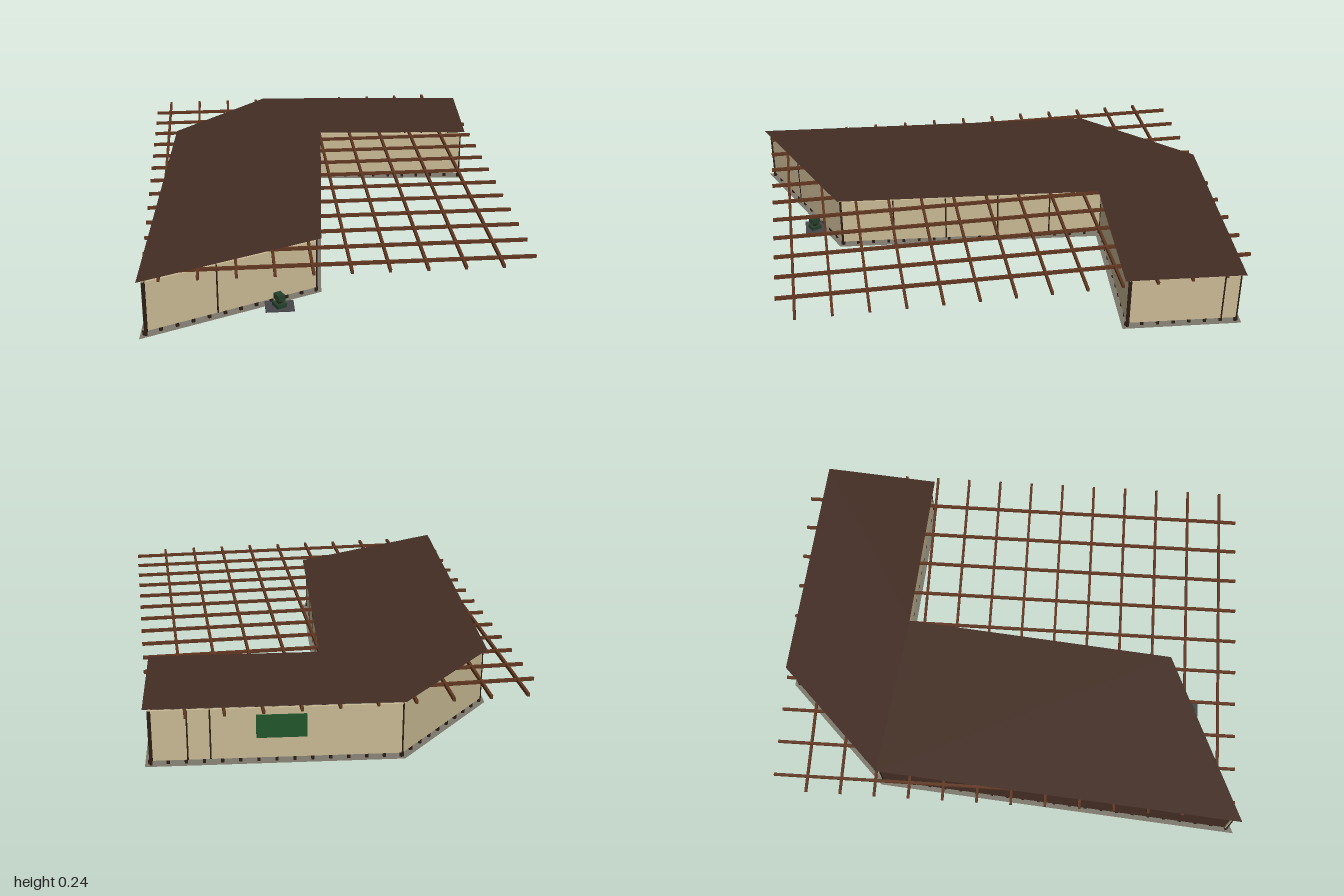
import * as THREE from 'three';

const mat = (name, color, side = THREE.FrontSide) => {
  const m = new THREE.MeshStandardMaterial({ color, side });
  m.name = name;
  return m;
};

// Footprint corners as [x, z], clockwise seen from above
const FOOTPRINT = [[-0.214, -1], [0.772, -0.923], [0.735, -0.427], [0.04, -0.48],
  [-0.058, 0.683], [-0.772, 0.995], [-0.652, -0.56]];

// Moves every edge of the outline inward by d
function inset(points, d) {
  const n = points.length;
  const normal = (a, b) => {
    const len = Math.hypot(b[0] - a[0], b[1] - a[1]);
    return [-(b[1] - a[1]) / len, (b[0] - a[0]) / len];
  };
  return points.map((p, i) => {
    const u = normal(points[(i + n - 1) % n], p);
    const v = normal(p, points[(i + 1) % n]);
    const k = d / (1 + u[0] * v[0] + u[1] * v[1]);
    return [p[0] + (u[0] + v[0]) * k, p[1] + (u[1] + v[1]) * k];
  });
}

export function createModel() {
  const model = new THREE.Group();
  model.name = 'courtyardPavilion';

  const roofBrown = mat('dark roof brown', 0x432d23, THREE.DoubleSide);
  const wallTan = mat('wall tan', 0xc9b994);
  const beamBrown = mat('beam brown', 0x603620);
  const trimDark = mat('dark trim', 0x2c1c14);
  const floorGrey = mat('floor grey', 0x7d786c, THREE.DoubleSide);
  const panelGreen = mat('panel green', 0x22552a);
  const padGrey = mat('pad grey', 0x45454b);
  const plantGreen = mat('plant green', 0x24402c);

  const box = (parent, name, material, w, h, d, x, y, z) => {
    const mesh = new THREE.Mesh(new THREE.BoxGeometry(w, h, d), material);
    mesh.name = name;
    mesh.position.set(x, y, z);
    parent.add(mesh);
    return mesh;
  };

  // Roof and floor sheets
  const sheet = (name, material, y) => {
    const shape = new THREE.Shape(FOOTPRINT.map(([x, z]) => new THREE.Vector2(x, -z)));
    const mesh = new THREE.Mesh(new THREE.ShapeGeometry(shape).rotateX(-Math.PI / 2), material);
    mesh.name = name;
    mesh.position.y = y;
    model.add(mesh);
  };
  sheet('roof', roofBrown, 0.2405);
  sheet('floor', floorGrey, 0.001);

  // Walls, with seam positions as fractions of each wall's length
  const LOW = 0.017, HIGH = 0.225, MID = (LOW + HIGH) / 2;
  const seams = [[0.76, 0.85], [0.14], [], [0.2, 0.4, 0.6, 0.8], [0.59], [], []];
  const wallNames = ['backWall', 'wingEndWall', 'wingCourtWall', 'courtWall',
    'frontWall', 'longSideWall', 'chamferWall'];
  const corners = inset(FOOTPRINT, 0.018);
  corners.forEach((a, i) => {
    const b = corners[(i + 1) % corners.length];
    const length = Math.hypot(b[0] - a[0], b[1] - a[1]);
    const wall = new THREE.Group();
    wall.name = wallNames[i];
    wall.position.set(a[0], 0, a[1]);
    wall.rotation.y = -Math.atan2(b[1] - a[1], b[0] - a[0]);
    model.add(wall);

    box(wall, 'wallPanel', i === 5 ? roofBrown : wallTan,
      length, HIGH - LOW, 0.01, length / 2, MID, 0.005);
    for (const t of [0, ...seams[i]]) {
      box(wall, 'seamPost', trimDark, 0.006, HIGH - LOW, 0.014, t * length, MID, 0.005);
    }
    // Short feet carrying the wall
    const feet = Math.round(length / 0.07);
    for (let k = 0; k <= feet; k++) {
      box(wall, 'foot', trimDark, 0.012, LOW, 0.01, (k / feet) * length, LOW / 2, 0.005);
    }
    // Green board on the back wall
    if (i === 0) {
      box(wall, 'greenBoard', panelGreen, length * 0.2, 0.095, 0.006, length * 0.48, 0.15, -0.003);
    }
  });

  // Grid of beams over the walls and courtyard
  const beams = new THREE.Group();
  beams.name = 'beamGrid';
  model.add(beams);
  for (let i = 0; i < 10; i++) {
    box(beams, 'longBeam', beamBrown, 0.011, 0.014, 1.955, -0.69 + i * 0.145, 0.232, -0.013);
  }
  for (let i = 0; i < 13; i++) {
    box(beams, 'crossBeam', beamBrown, 1.514, 0.013, 0.011, 0, 0.2315, -0.847 + i * 0.1447);
  }

  // Small planter on a pad beside the front wall
  const planter = new THREE.Group();
  planter.name = 'planter';
  planter.position.set(-0.232, 0, 0.79);
  model.add(planter);
  box(planter, 'pad', padGrey, 0.115, 0.004, 0.086, 0, 0.002, 0);
  const plant = new THREE.Group();
  plant.name = 'plant';
  plant.rotation.y = 0.45;
  planter.add(plant);
  box(plant, 'plantBase', plantGreen, 0.042, 0.016, 0.046, 0, 0.012, 0);
  box(plant, 'plantStem', trimDark, 0.018, 0.016, 0.018, 0, 0.028, 0);
  box(plant, 'plantTop', plantGreen, 0.03, 0.024, 0.042, 0, 0.046, 0);

  return model;
}
